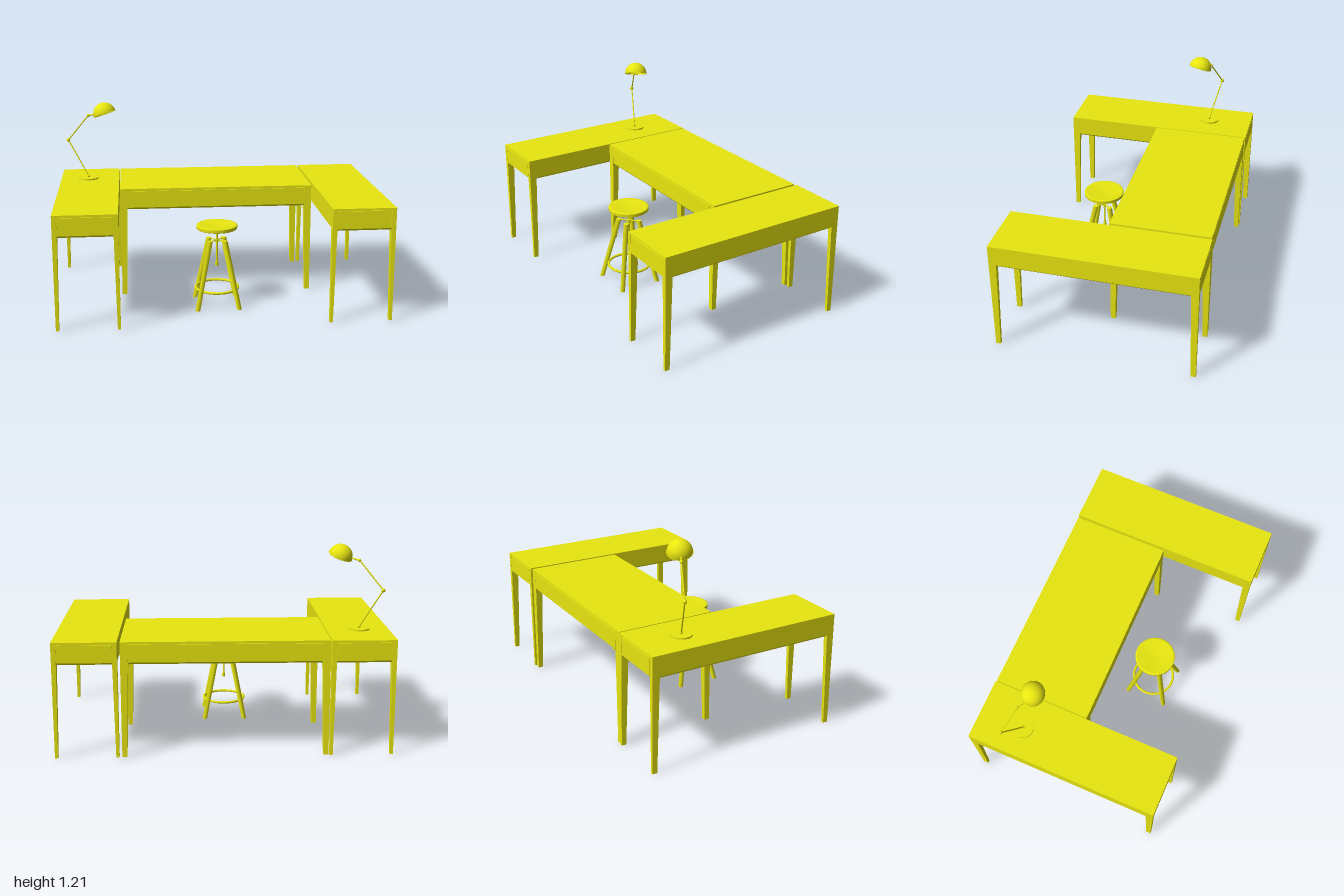
import * as THREE from 'three';

const yellow = new THREE.MeshStandardMaterial({ color: 0xe8e610, side: THREE.DoubleSide });
const V = (x, y, z) => new THREE.Vector3(x, y, z);

function add(parent, name, geometry, x = 0, y = 0, z = 0) {
  const m = new THREE.Mesh(geometry, yellow);
  m.name = name;
  m.position.set(x, y, z);
  parent.add(m);
  return m;
}

// box given by its two extreme corners
function box(parent, name, x0, x1, y0, y1, z0, z1) {
  return add(parent, name, new THREE.BoxGeometry(x1 - x0, y1 - y0, z1 - z0),
    (x0 + x1) / 2, (y0 + y1) / 2, (z0 + z1) / 2);
}

// cylinder between two points
function rod(parent, name, a, b, r, sides = 12) {
  const m = add(parent, name, new THREE.CylinderGeometry(r, r, a.distanceTo(b), sides));
  m.position.copy(a).lerp(b, 0.5);
  m.quaternion.setFromUnitVectors(V(0, 1, 0), b.clone().sub(a).normalize());
  return m;
}

// box whose lower vertices are moved by a rule
function taperedBox(w, h, d, rule) {
  const g = new THREE.BoxGeometry(w, h, d), p = g.attributes.position;
  for (let i = 0; i < p.count; i++) {
    if (p.getY(i) > 0) continue;
    const [x, z] = rule(p.getX(i), p.getZ(i));
    p.setX(i, x);
    p.setZ(i, z);
  }
  g.computeVertexNormals();
  return g;
}

function desk(name, x0, x1, z0, z1, legX, legZ) {
  const g = new THREE.Group();
  g.name = name;
  const w = x1 - x0, d = z1 - z0, cx = (x0 + x1) / 2, cz = (z0 + z1) / 2;
  const low = 0.578, inset = 0.006, gap = 0.002;
  box(g, 'tableTop', x0, x1, 0.69, 0.7, z0, z1);
  box(g, 'apronCore', x0, x1, low, 0.69, z0 + inset, z1 - inset);
  // chamfered underside
  add(g, 'underside', taperedBox(w - 0.004, 0.012, d - 0.004,
    (x, z) => [x - Math.sign(x) * 0.01, z - Math.sign(z) * 0.01]), cx, low - 0.006, cz);
  // front and back panels, set off by a fine shadow gap
  for (const [a, b] of [[z0, z0 + inset], [z1 - inset, z1]])
    box(g, 'drawerPanel', x0 + legX + gap, x1 - legX - gap, low, 0.684, a, b);
  // legs taper on their inner faces only
  for (const sx of [-1, 1]) for (const sz of [-1, 1]) {
    const px = cx + sx * (w - legX) / 2, pz = cz + sz * (d - legZ) / 2;
    add(g, 'leg', taperedBox(legX, 0.57, legZ, (x, z) => [
      x * sx < 0 ? x * 0.3 : x, z * sz < 0 ? z * 0.3 : z]), px, 0.285, pz);
    box(g, 'cornerPost', px - legX / 2, px + legX / 2, 0.57, 0.69, pz - legZ / 2, pz + legZ / 2);
  }
  return g;
}

function stool() {
  const g = new THREE.Group();
  g.name = 'stool';
  // shallow dished seat
  const profile = [[0, 0], [0.122, 0], [0.126, 0.003], [0.126, 0.003], [0.127, 0.022], [0.127, 0.022],
    [0.123, 0.026], [0.115, 0.026], [0.115, 0.026], [0.06, 0.02], [0, 0.018]];
  add(g, 'seat', new THREE.LatheGeometry(profile.map(p => new THREE.Vector2(...p)), 48), 0, 0.49, 0);
  // adjusting screw
  rod(g, 'screw', V(0, 0.25, 0), V(0, 0.49, 0), 0.006);
  rod(g, 'screwFoot', V(0, 0.25, 0), V(0, 0.274, 0), 0.01);
  rod(g, 'screwNut', V(0, 0.4, 0), V(0, 0.422, 0), 0.011);
  rod(g, 'seatPlate', V(0, 0.482, 0), V(0, 0.491, 0), 0.025, 20);
  // splayed legs, sheared so both ends stay level
  for (const sx of [-1, 1]) for (const sz of [-1, 1]) {
    const geo = new THREE.CylinderGeometry(0.017, 0.0145, 0.42, 16);
    const p = geo.attributes.position;
    for (let i = 0; i < p.count; i++) {
      const off = 0.0875 - p.getY(i) * 0.083 / 0.42;
      p.setX(i, p.getX(i) + sx * off);
      p.setZ(i, p.getZ(i) + sz * off);
    }
    add(g, 'stoolLeg', geo, 0, 0.21, 0);
    rod(g, 'bracket', V(0, 0.416, 0), V(sx * 0.046, 0.416, sz * 0.046), 0.004, 8);
  }
  const ring = add(g, 'footRing', new THREE.TorusGeometry(0.133, 0.008, 12, 48), 0, 0.11, 0);
  ring.rotation.x = Math.PI / 2;
  g.position.set(-0.022, 0, 0.213);
  return g;
}

function lamp() {
  const g = new THREE.Group();
  g.name = 'deskLamp';
  const foot = V(-0.822, 0.716, -0.325), elbow = V(-0.95, 0.949, -0.383);
  const wrist = V(-0.812, 1.12, -0.322), rim = V(-0.705, 1.138, -0.268);
  const axis = V(-0.34, 1, -0.22).normalize();
  rod(g, 'lampBase', V(foot.x, 0.7, foot.z), V(foot.x, 0.709, foot.z), 0.064, 40);
  rod(g, 'lowerArm', foot, elbow, 0.004);
  rod(g, 'upperArm', elbow, wrist, 0.004);
  rod(g, 'shadeNeck', wrist, V(-0.766, 1.13, -0.297), 0.005);
  for (const [p, r] of [[foot, 0.009], [elbow, 0.012], [wrist, 0.01]])
    add(g, 'joint', new THREE.SphereGeometry(r, 16, 12), p.x, p.y, p.z);
  // open dome shade
  const shade = add(g, 'shade',
    new THREE.SphereGeometry(0.073, 40, 16, 0, Math.PI * 2, 0, Math.PI / 2), rim.x, rim.y, rim.z);
  shade.quaternion.setFromUnitVectors(V(0, 1, 0), axis);
  const lip = add(g, 'shadeRim', new THREE.TorusGeometry(0.073, 0.002, 8, 40), rim.x, rim.y, rim.z);
  lip.quaternion.setFromUnitVectors(V(0, 0, 1), axis);
  return g;
}

export function createModel() {
  const model = new THREE.Group();
  model.name = 'workstation';
  model.add(
    desk('rightDesk', -1, -0.622, -0.608, 0.604, 0.028, 0.045),
    desk('leftDesk', 0.622, 1, -0.608, 0.604, 0.028, 0.045),
    desk('middleDesk', -0.615, 0.605, -0.603, 0.003, 0.045, 0.045),
    stool(), lamp());
  return model;
}
